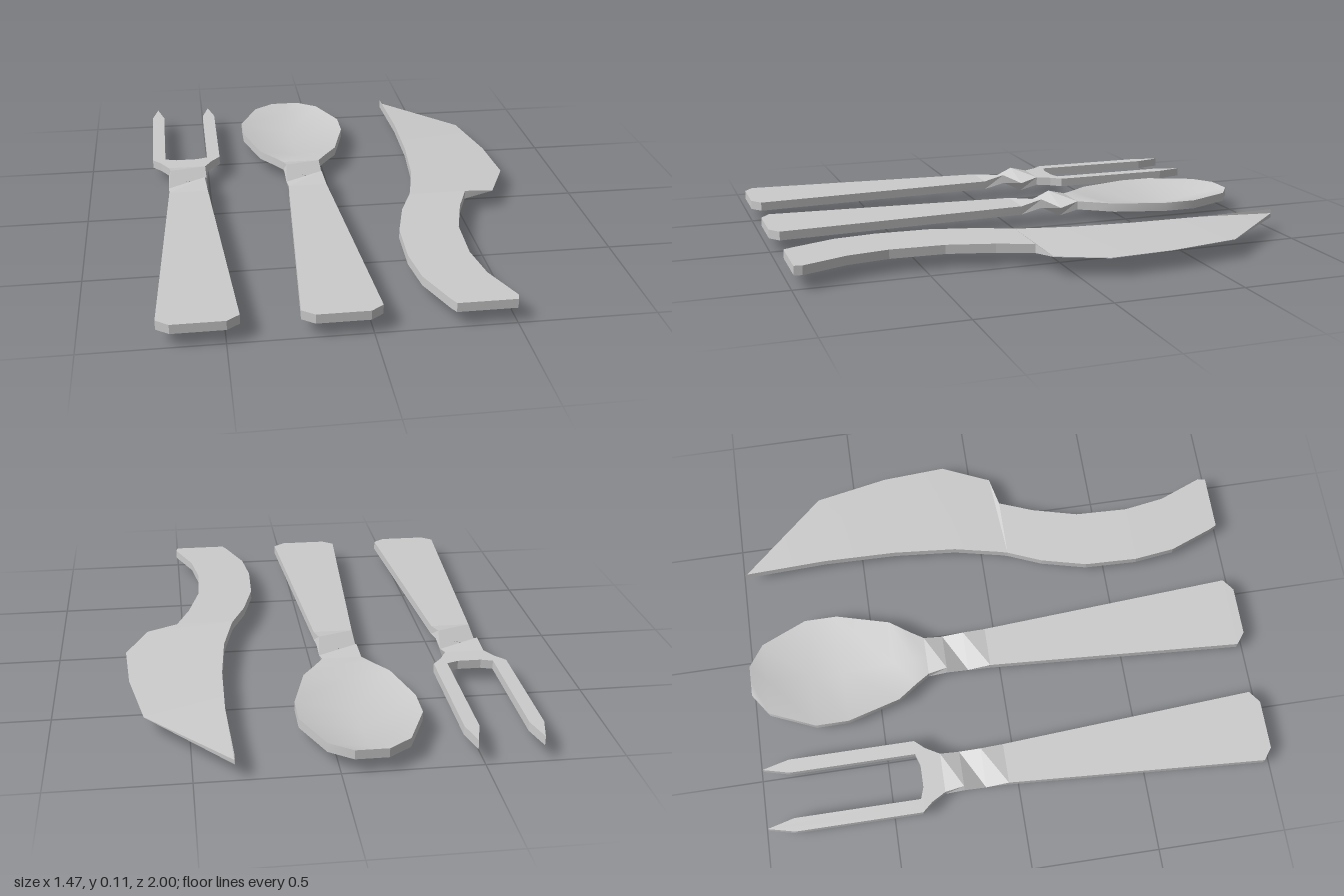
import * as THREE from 'three';
import { toCreasedNormals } from 'three/addons/utils/BufferGeometryUtils.js';

const TOP = 0.088, BOTTOM = 0.053, MID = (TOP + BOTTOM) / 2;
const material = new THREE.MeshStandardMaterial({ color: 0xcccccc });

// A point of a slab: upper and lower corner at plan position x, z
const pt = (x, z, top = TOP, bottom = BOTTOM, shift = 0) => ({
  top: [x - shift, top, z],
  bottom: [x + shift, bottom, z],
});

// Closed slab through rows that run from +z to -z, each row from -x to +x
function slab(name, rows, crease = 0.1) {
  const pos = [];
  const quad = (a, b, c, d) => pos.push(...a, ...b, ...c, ...a, ...c, ...d);
  for (let i = 0; i < rows.length - 1; i++) {
    for (let j = 0; j < rows[i].length - 1; j++) {
      const a = rows[i][j], b = rows[i][j + 1], c = rows[i + 1][j + 1], d = rows[i + 1][j];
      quad(a.top, b.top, c.top, d.top);
      quad(d.bottom, c.bottom, b.bottom, a.bottom);
    }
  }
  const last = rows.length - 1;
  const ring = [
    ...rows[0],
    ...rows.slice(1, last).map((r) => r[r.length - 1]),
    ...rows[last].slice().reverse(),
    ...rows.slice(1, last).reverse().map((r) => r[0]),
  ];
  ring.forEach((p, i) => {
    const q = ring[(i + 1) % ring.length];
    quad(p.bottom, q.bottom, q.top, p.top);
  });
  const geometry = new THREE.BufferGeometry();
  geometry.setAttribute('position', new THREE.Float32BufferAttribute(pos, 3));
  const mesh = new THREE.Mesh(toCreasedNormals(geometry, crease), material);
  mesh.name = name;
  return mesh;
}

// Flared handle whose neck twists one way, then the other
function handle(name, cx) {
  const sections = [
    [1, 0.095, 0], [0.965, 0.141, 0], [-0.04, 0.078, 0],
    [-0.13, 0.077, 0.27], [-0.215, 0.077, -0.27], [-0.29, 0.077, 0],
  ];
  const half = (TOP - BOTTOM) / 2;
  return slab(name, sections.map(([z, w, sin]) => {
    const cos = Math.sqrt(1 - sin * sin);
    return [-1, 1].map((side) => {
      const y = MID + side * w * sin;
      return pt(cx + side * w * cos, z, y + half * cos, y - half * cos, half * sin);
    });
  }));
}

// Two-pronged head, mirrored about its centre line
function forkHead(cx) {
  const side = [
    [0.077, 0.29], [0.108, 0.345], [0.143, 0.385], [0.143, 0.88],
    [0.117, 0.985], [0.09, 0.88], [0.09, 0.387], [0.045, 0.372],
  ];
  const mirrored = side.map(([x, y]) => [-x, y]).reverse();
  const shape = new THREE.Shape([...side, ...mirrored].map(([x, y]) => new THREE.Vector2(x, y)));
  const geometry = new THREE.ExtrudeGeometry(shape, { depth: TOP - BOTTOM, bevelEnabled: false });
  geometry.rotateX(-Math.PI / 2).translate(cx, BOTTOM, 0);
  const mesh = new THREE.Mesh(geometry, material);
  mesh.name = 'forkHead';
  return mesh;
}

// Dished bowl: z, half width, depth along the centre line
function spoonBowl(cx) {
  const rows = [
    [-0.29, 0.077, 0], [-0.345, 0.112, 0], [-0.42, 0.165, 0.026], [-0.63, 0.223, BOTTOM],
    [-0.76, 0.223, BOTTOM], [-0.94, 0.145, 0.026], [-1, 0.06, 0],
  ];
  return slab('spoonBowl', rows.map(([z, w, depth]) => [
    pt(cx - w, z), pt(cx, z, TOP - depth, BOTTOM - depth), pt(cx + w, z),
  ]), 0.6);
}

// Curved handle and blade: left x, left z, right x, right z
function knife() {
  const handleRows = [
    [0.285, 0.99, 0.5, 0.99], [0.27, 0.96, 0.507, 0.96], [0.205, 0.79, 0.44, 0.79],
    [0.185, 0.63, 0.415, 0.63], [0.192, 0.42, 0.423, 0.42], [0.237, 0.24, 0.47, 0.24],
    [0.293, 0.105, 0.523, 0.105],
  ];
  const bladeRows = [
    [0.3, 0.08, 0.645, 0.08], [0.342, -0.11, 0.73, -0.11], [0.364, -0.36, 0.715, -0.36],
    [0.37, -0.65, 0.66, -0.65], [0.358, -0.985, 0.36, -0.985],
  ];
  const group = new THREE.Group();
  group.name = 'knife';
  const thick = handleRows.map(([a, b, c, d]) => [pt(a, b), pt(c, d)]);
  // Full thickness along the back, thinning to a sharp cutting edge
  const sharp = bladeRows.map(([a, b, c, d]) => [pt(a, b), pt(c, d, MID + 0.001, MID - 0.001)]);
  group.add(
    slab('knifeHandle', thick),
    slab('knifeBlade', [thick[thick.length - 1], ...sharp], 0.3),
  );
  return group;
}

export function createModel() {
  const model = new THREE.Group();
  model.name = 'cutlerySet';

  const fork = new THREE.Group();
  fork.name = 'fork';
  fork.add(handle('forkHandle', -0.592), forkHead(-0.592));

  const spoon = new THREE.Group();
  spoon.name = 'spoon';
  spoon.add(handle('spoonHandle', -0.105), spoonBowl(-0.105));

  model.add(fork, spoon, knife());
  return model;
}
